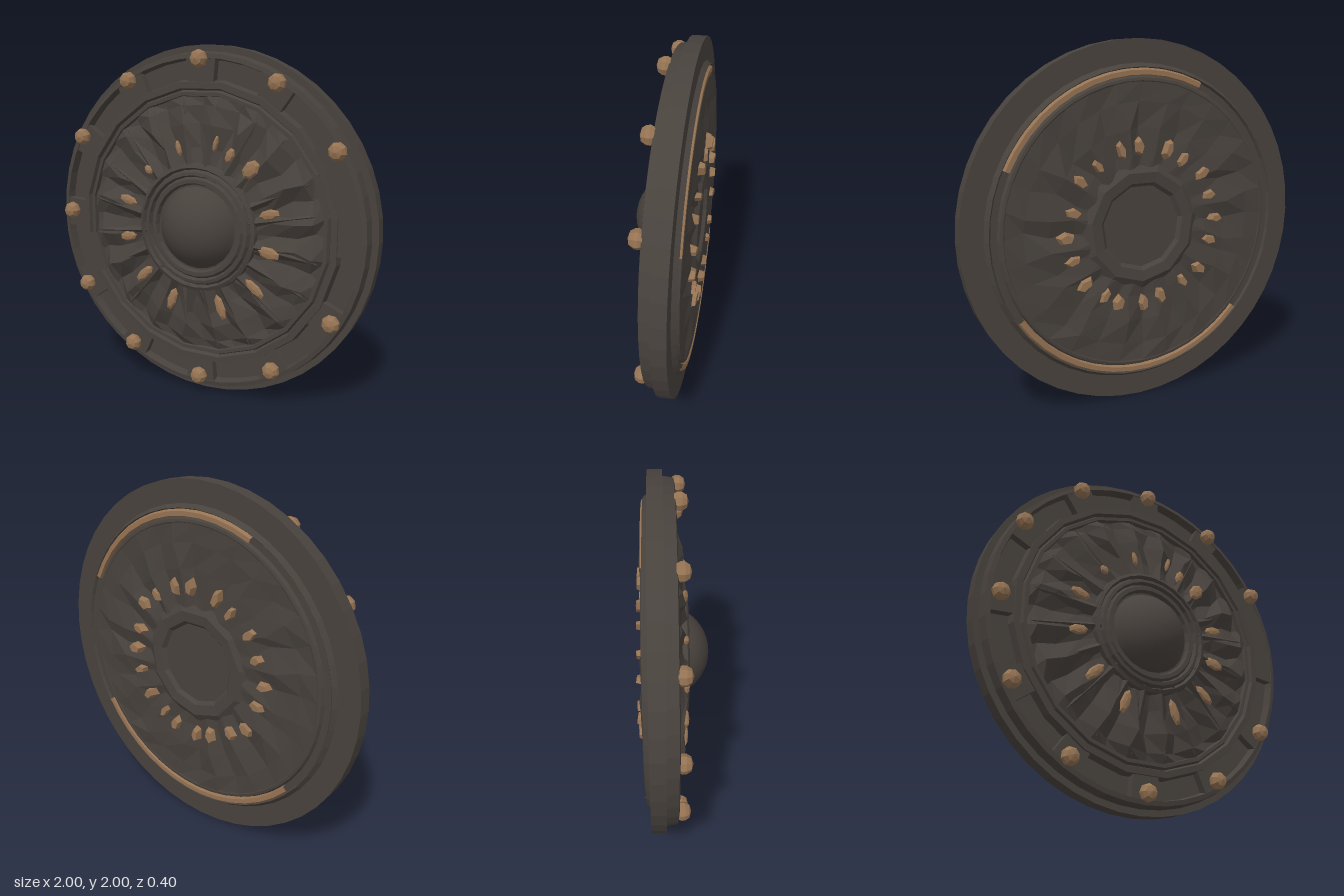
import * as THREE from 'three';

const rad = THREE.MathUtils.degToRad;
const iron = new THREE.MeshStandardMaterial({ color: 0x48423d });
iron.name = 'darkIron';
const bronze = new THREE.MeshStandardMaterial({ color: 0x957353 });
bronze.name = 'bronze';

// small seeded jitter in -1..1
const jitter = (n) => {
  const s = Math.sin(n * 127.1 + 31.7) * 43758.5453;
  return (s - Math.floor(s)) * 2 - 1;
};

// hard facets
function facet(geo) {
  const g = geo.index ? geo.toNonIndexed() : geo;
  g.computeVertexNormals();
  return g;
}

// profile of [radius, z] pairs turned about the z axis
function turned(profile, sides, start = 0, length = Math.PI * 2) {
  const pts = profile.map(([r, z]) => new THREE.Vector2(r, z));
  return new THREE.LatheGeometry(pts, sides, start, length).rotateX(Math.PI / 2);
}

// crumpled radial sheet; zAt(row, column) gives the relief
function sheet(radii, columns, zAt, facesFront) {
  const pos = [], idx = [];
  radii.forEach((r, i) => {
    for (let j = 0; j < columns; j++) {
      const edge = i === 0 || i === radii.length - 1;
      const a = ((j + (edge ? 0 : 0.25 * jitter(i * 71 + j))) / columns) * Math.PI * 2;
      pos.push(r * Math.cos(a), r * Math.sin(a), zAt(i, j));
    }
  });
  for (let i = 0; i < radii.length - 1; i++) {
    for (let j = 0; j < columns; j++) {
      const k = (j + 1) % columns;
      const a = i * columns + j, b = a + columns, c = (i + 1) * columns + k, d = i * columns + k;
      if (facesFront) idx.push(a, b, c, a, c, d);
      else idx.push(a, c, b, a, d, c);
    }
  }
  const g = new THREE.BufferGeometry();
  g.setAttribute('position', new THREE.Float32BufferAttribute(pos, 3));
  g.setIndex(idx);
  return facet(g);
}

export function createModel() {
  const model = new THREE.Group();
  model.name = 'roundShield';
  model.position.y = 1;

  const add = (name, geo, mat, parent = model) => {
    const m = new THREE.Mesh(geo, mat);
    m.name = name;
    parent.add(m);
    return m;
  };
  const group = (name) => {
    const g = new THREE.Group();
    g.name = name;
    model.add(g);
    return g;
  };
  // place a part at a polar position with its x axis pointing outwards
  const polar = (m, r, a, z) => {
    m.position.set(r * Math.cos(a), r * Math.sin(a), z);
    m.rotation.z = a;
  };

  // stepped outer rim: groove on the back, sunken channel on the front
  add('outerRim', facet(turned([
    [0.77, -0.155], [0.785, -0.163], [0.80, -0.16], [0.81, -0.142], [0.845, -0.142], [0.855, -0.155], [0.875, -0.13],
    [1.0, -0.13], [1.0, -0.05], [0.965, -0.05], [0.955, 0.01], [0.93, 0.015], [0.92, -0.035],
    [0.81, -0.035], [0.80, 0.015],
  ], 48)), iron);
  add('innerBorder', facet(turned([
    [0.82, -0.03], [0.81, 0.018], [0.775, 0.02], [0.765, -0.005], [0.755, 0.015], [0.735, 0.015], [0.725, -0.03],
  ], 20, Math.PI / 20)), iron);

  // raised blocks between the sunken panels, one of them long
  const blocks = group('rimBlocks');
  for (let i = 0; i < 12; i++) {
    if (i === 1) continue;
    const from = rad(i * 30 - 5.5), to = rad(i === 0 ? 35.5 : i * 30 + 5.5);
    const s = new THREE.Shape();
    s.absarc(0, 0, 0.935, from, to, false);
    s.absarc(0, 0, 0.80, to, from, true);
    const g = new THREE.ExtrudeGeometry(s, { depth: 0.06, bevelEnabled: false, curveSegments: 4 });
    add('rimBlock', g.translate(0, 0, -0.05), iron, blocks);
  }

  // eleven studs, the twelfth place is empty
  const studs = group('studs');
  studs.position.y = 0.015;
  const studGeo = facet(turned([
    [0.04, 0.005], [0.05, 0.025], [0.048, 0.045], [0.034, 0.067], [0, 0.077],
  ], 8));
  for (let i = 1; i < 12; i++) {
    polar(add('stud', studGeo, bronze, studs), i === 6 ? 0.885 : 0.91, rad(i * 30), 0);
  }

  // crumpled front and back plates
  const frontZ = [0.05, 0.037, 0.03, 0.012, -0.01];
  add('frontPlate', sheet([0.33, 0.45, 0.58, 0.68, 0.75], 40, (i, j) => {
    const relief = [0, 0.016, 0.026, 0.02, 0][i];
    return frontZ[i] + relief * (j % 2 ? 0.9 : -1) + 0.5 * relief * jitter(i * 13 + j);
  }, true), iron);
  add('backPlate', sheet([0.26, 0.40, 0.54, 0.68, 0.79], 32, (i, j) => {
    const relief = [0, 0.01, 0.014, 0.009, 0][i];
    return -0.16 + relief * (j % 2 ? -0.8 : 0.8) + 0.8 * relief * jitter(i * 29 + j);
  }, false), iron);

  // tapered rays bursting out from the centre
  const rays = group('frontRays');
  const rayGeo = facet(new THREE.ConeGeometry(0.075, 0.38, 4, 1).rotateZ(-Math.PI / 2));
  for (let i = 0; i < 20; i++) {
    const m = add('ray', rayGeo, iron, rays);
    polar(m, 0.53 + 0.015 * jitter(i), rad(i * 18 + 9 + 3 * jitter(i + 40)), 0.02);
    m.scale.set(1 + 0.08 * jitter(i + 80), 0.8 + 0.15 * jitter(i + 60), 0.75);
  }

  // bronze plates on the front rays: angle, radius, length scale, width scale
  const inlays = group('frontInlays');
  const inlayGeo = facet(new THREE.SphereGeometry(1, 7, 4).rotateX(Math.PI / 2).scale(0.062, 0.03, 0.016));
  [
    [15, 0.456, 1, 1], [47, 0.48, 1, 1.4], [64, 0.465, 0.75, 0.85], [76, 0.49, 0.8, 0.5],
    [104, 0.455, 0.75, 0.55], [135, 0.435, 0.5, 0.8], [165, 0.466, 1, 1], [192, 0.465, 0.95, 1],
    [222, 0.467, 1.2, 1], [250, 0.468, 1.2, 1], [289, 0.468, 1.25, 1], [320, 0.469, 1.15, 1], [348, 0.45, 1.05, 1.2],
  ].forEach(([deg, r, length, width]) => {
    const m = add('inlay', inlayGeo, bronze, inlays);
    polar(m, r, rad(deg), 0.06);
    m.scale.set(length, width, 1);
  });

  // ring of chipped bronze teeth on the back
  const teeth = group('backTeeth');
  const toothGeo = facet(new THREE.CylinderGeometry(0.62, 1, 1, 5).rotateX(-Math.PI / 2).scale(0.062, 0.037, 0.06));
  for (let i = 0; i < 20; i++) {
    const m = add('tooth', toothGeo, bronze, teeth);
    polar(m, 0.445 + 0.025 * jitter(i + 7), rad(i * 18 + 4 * jitter(i + 3)), -0.163);
    m.rotation.y = 0.15 * jitter(i + 23);
    m.scale.set(1 + 0.15 * jitter(i + 11), 0.95 + 0.2 * jitter(i + 17), 1);
  }

  // bronze trim exposed along the top and bottom of the back
  const trims = group('backTrim');
  const trimProfile = [[0.808, -0.14], [0.815, -0.164], [0.84, -0.164], [0.852, -0.145]];
  add('upperTrim', facet(turned(trimProfile, 12, rad(115), rad(90))), bronze, trims);
  add('lowerTrim', facet(turned(trimProfile, 14, rad(312), rad(106))), bronze, trims);

  // stepped collar and shallow central dome
  add('collar', facet(turned([
    [0.375, 0.0], [0.362, 0.07], [0.342, 0.08], [0.33, 0.058], [0.318, 0.08], [0.3, 0.083],
    [0.29, 0.06], [0.278, 0.075], [0.255, 0.075], [0.245, 0.05], [0.22, 0.05],
  ], 28)), iron);
  const domeProfile = [];
  for (let i = 0; i <= 8; i++) {
    const t = 1.137 * (1 - i / 8);
    domeProfile.push([0.259 * Math.sin(t), 0.259 * Math.cos(t) - 0.059]);
  }
  add('dome', turned(domeProfile, 24), iron);

  // flat hub inside a rough ring on the back
  add('backHub', facet(turned([
    [0, -0.152], [0.23, -0.152], [0.25, -0.172], [0.31, -0.178], [0.36, -0.15],
  ], 11)), iron);

  const root = new THREE.Group();
  root.name = 'shield';
  root.add(model);
  return root;
}
